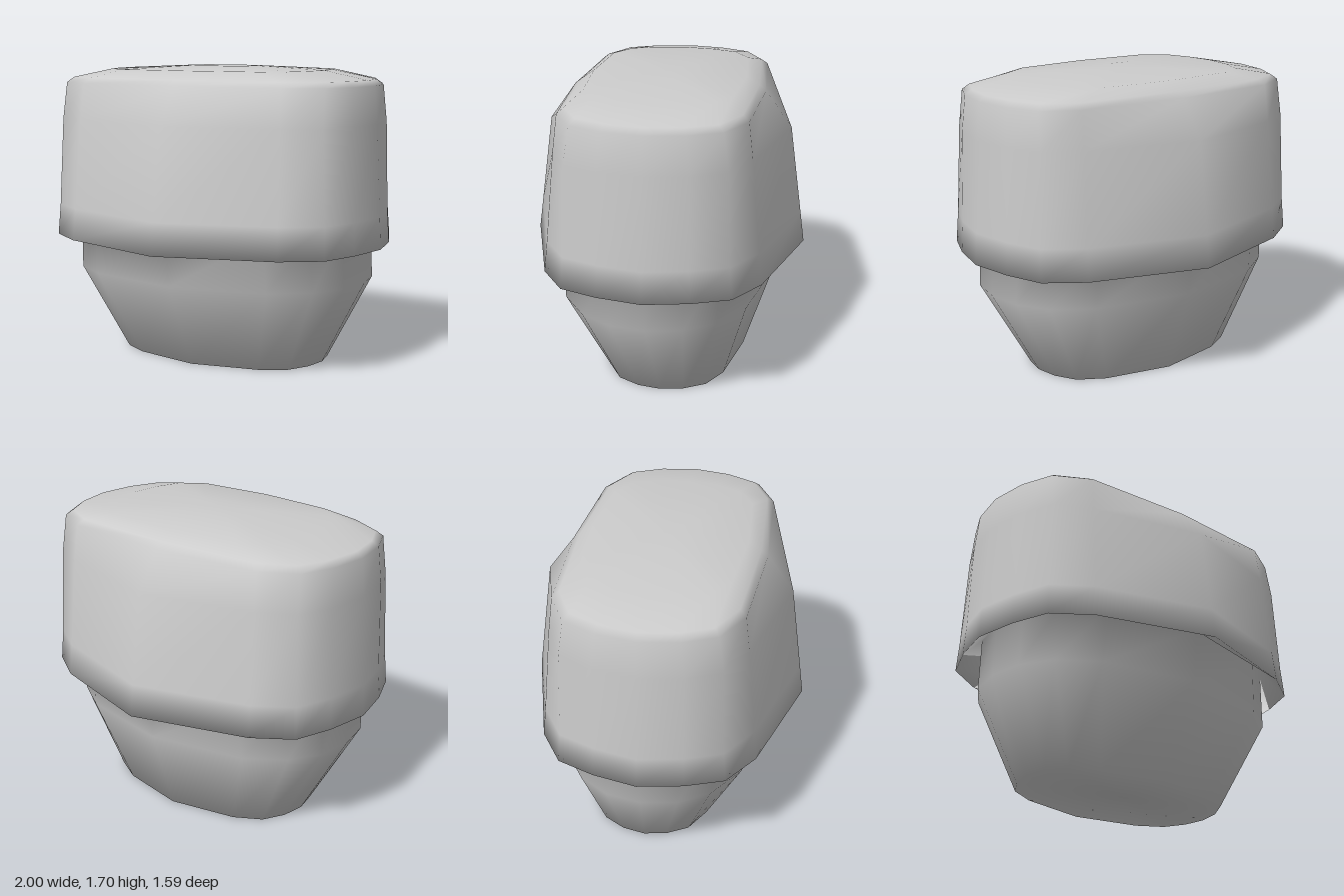
import * as THREE from 'three';

// Full 16-point ring from a quarter outline of [x, z] points (side -> front)
function ring(y, quarter, dz = 0) {
  const half = [...quarter, ...quarter.slice(0, -1).reverse().map(([x, z]) => [-x, z])];
  const back = half.slice(1, -1).reverse().map(([x, z]) => [x, -z]);
  return [...half, ...back].map(([x, z]) => [x, y, z + dz]);
}

// Smooth skin through the rings, closed by a centre point at each end
function loft(name, rings) {
  const n = rings[0].length, last = rings.length - 1;
  const pos = rings.flat(2), index = [];
  const start = rings.length * n, end = start + 1;
  pos.push(0, rings[0][0][1], 0, 0, rings[last][0][1], 0);
  for (let j = 0; j < n; j++) {
    const k = (j + 1) % n;
    for (let i = 0; i < last; i++) {
      const a = i * n + j, b = i * n + k;
      index.push(a, a + n, b, b, a + n, b + n);
    }
    index.push(start, j, k, last * n + j, end, last * n + k);
  }
  const geometry = new THREE.BufferGeometry();
  geometry.setAttribute('position', new THREE.Float32BufferAttribute(pos, 3));
  geometry.setIndex(index);
  geometry.computeVertexNormals();
  const mesh = new THREE.Mesh(geometry, new THREE.MeshStandardMaterial({ color: 0xcccccc }));
  mesh.name = name;
  return mesh;
}

const scale = (quarter, sx, sz) => quarter.map(([x, z]) => [x * sx, z * sz]);

export function createModel() {
  const model = new THREE.Group();
  model.name = 'cappedBlock';

  // Outlines of the tapered base
  const foot = [[0.635, 0], [0.61, 0.13], [0.54, 0.25], [0.39, 0.335], [0, 0.415]];
  const waist = [[0.905, 0], [0.87, 0.2], [0.76, 0.37], [0.55, 0.51], [0, 0.62]];

  // Outlines of the overhanging cap
  const rim = [[1, 0], [0.95, 0.25], [0.87, 0.46], [0.66, 0.6], [0, 0.795]];
  const shoulder = [[0.965, 0], [0.925, 0.24], [0.84, 0.43], [0.64, 0.535], [0, 0.7]];
  const brow = [[0.945, 0], [0.91, 0.22], [0.83, 0.4], [0.63, 0.51], [0, 0.55]];

  // One continuous skin: base, recessed underside, cap wall, crown
  model.add(loft('baseAndCap', [
    ring(0, foot, -0.04),
    ring(0.5, waist),
    ring(0.8, scale(waist, 0.985, 1.03)),
    ring(0.7, rim),
    ring(0.88, scale(rim, 0.99, 0.969)),
    ring(1.39, shoulder),
    ring(1.6, brow),
    ring(1.63, scale(brow, 0.96, 0.93)),
    ring(1.68, scale(brow, 0.68, 0.8)),
    ring(1.7, scale(brow, 0.22, 0.24)),
  ]));

  return model;
}
